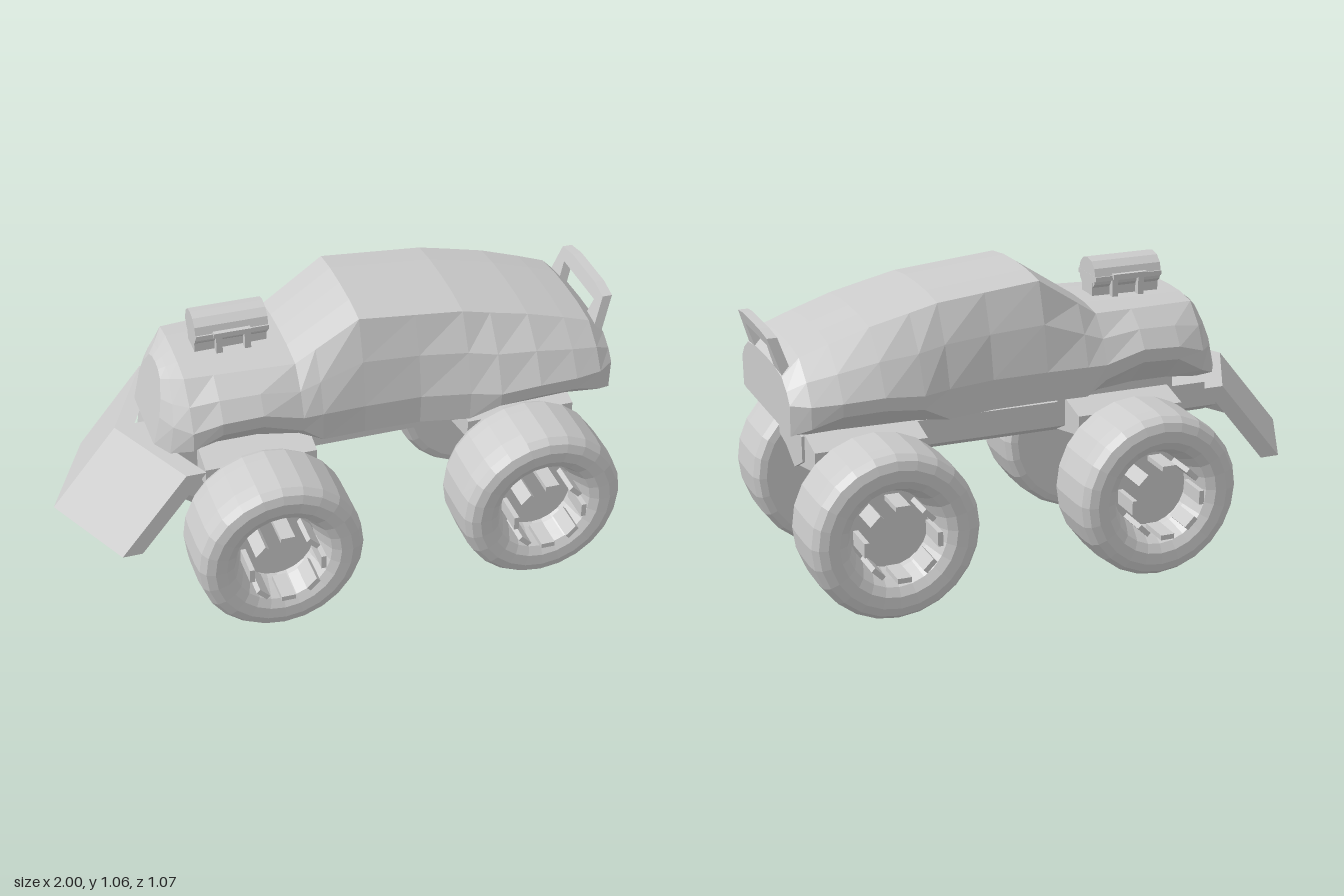
import * as THREE from 'three';

const material = new THREE.MeshStandardMaterial({ color: 0xcccccc, flatShading: true });
const { lerp } = THREE.MathUtils;

function add(parent, name, geometry, x = 0, y = 0, z = 0) {
  const mesh = new THREE.Mesh(geometry, material);
  mesh.name = name;
  mesh.position.set(x, y, z);
  parent.add(mesh);
  return mesh;
}

// Box given by its limits
function block(parent, name, [x0, x1], [y0, y1], [z0, z1]) {
  add(parent, name, new THREE.BoxGeometry(x1 - x0, y1 - y0, z1 - z0),
    (x0 + x1) / 2, (y0 + y1) / 2, (z0 + z1) / 2);
}

// Skin a row of equal-length rings and cap both ends
function loft(rings) {
  const n = rings[0].length, v = [];
  const tri = (...points) => points.forEach((p) => v.push(...p));
  for (let i = 0; i < rings.length - 1; i++) {
    for (let j = 0; j < n; j++) {
      const k = (j + 1) % n;
      const a = rings[i][j], b = rings[i][k], c = rings[i + 1][k], d = rings[i + 1][j];
      tri(a, d, c);
      tri(a, c, b);
    }
  }
  const middle = (r) => [0, 1, 2].map((k) => r.reduce((s, p) => s + p[k], 0) / n);
  const first = rings[0], last = rings[rings.length - 1];
  for (let j = 0; j < n; j++) {
    const k = (j + 1) % n;
    tri(middle(first), first[j], first[k]);
    tri(middle(last), last[k], last[j]);
  }
  const geometry = new THREE.BufferGeometry();
  geometry.setAttribute('position', new THREE.Float32BufferAttribute(v, 3));
  geometry.computeVertexNormals();
  return geometry;
}

// Value at x on a line through [x, value] points
function along(points, x) {
  const i = Math.max(1, points.findIndex((p) => p[0] >= x));
  const [x0, v0] = points[i - 1], [x1, v1] = points[i];
  return lerp(v0, v1, (x - x0) / (x1 - x0));
}

// Rise of a wheel arch above the sill
const arch = (x, centre, half, height) => height * Math.max(0, 1 - Math.abs((x - centre) / half) ** 3);

// Body sections along x, ruled by its waist, roof line and wheel arches
function bodyGeometry() {
  const waist = [[-0.66, 0.15], [-0.62, 0.22], [-0.55, 0.28], [-0.4, 0.305], [0.05, 0.295], [0.25, 0.3],
    [0.42, 0.335], [0.52, 0.37], [0.66, 0.38], [0.8, 0.367], [0.9, 0.34], [0.96, 0.295]];
  const roofLine = [[-0.66, 0.87], [-0.55, 0.915], [-0.17, 0.92], [0.05, 1.065],
    [0.42, 1.03], [0.7, 0.965], [0.9, 0.895], [0.96, 0.835]];
  const roofWidth = [[-0.66, 0.08], [-0.55, 0.17], [-0.17, 0.2], [0.05, 0.215], [0.6, 0.225], [0.96, 0.21]];
  const stations = [-0.66, -0.62, -0.55, -0.45, -0.31, -0.17, -0.1, 0.05, 0.25, 0.42, 0.52, 0.66, 0.8, 0.9, 0.96];
  return loft(stations.map((x) => {
    const width = along(waist, x), roof = along(roofLine, x), edge = along(roofWidth, x);
    const rise = arch(x, -0.35, 0.23, 0.1) + arch(x, 0.68, 0.26, 0.075);
    const belt = Math.max(0.745, 0.685 + rise), edgeY = roof - 0.017;
    const half = [
      [width * 0.9 - rise * 0.8, 0.635], [width * 0.985, 0.638 + rise], [width, belt],
      [lerp(width, edge, 0.38), lerp(belt, edgeY, 0.53)], [edge, edgeY], [edge * 0.5, roof - 0.003],
    ];
    const mirrored = half.map(([z, y]) => [-z, y]).reverse();
    const lean = Math.max(0, -0.55 - x) * 2;
    return [[0, 0.635], ...half, [0, roof], ...mirrored].map(([z, y]) => [x + lean * (y - 0.635), y, z]);
  }));
}

// Tyre with recessed hub and a ring of lugs, facing +z, centred on its axle
function makeWheel(name) {
  const wheel = new THREE.Group();
  wheel.name = name;
  const profile = [[0, 0.21], [0.255, 0.21], [0.28, 0.217], [0.295, 0.245], [0.298, 0.29], [0.298, 0.41],
    [0.293, 0.46], [0.275, 0.485], [0.245, 0.495], [0.205, 0.493], [0.175, 0.475], [0.158, 0.44],
    [0.142, 0.4], [0.138, 0.38], [0, 0.38]].map(([r, h]) => new THREE.Vector2(r, h));
  add(wheel, 'tyre', new THREE.LatheGeometry(profile, 24).rotateX(Math.PI / 2));
  for (let i = 0; i < 8; i++) {
    const angle = i * Math.PI / 4;
    const lug = add(wheel, 'wheelLug', new THREE.BoxGeometry(0.018, 0.05, 0.12),
      0.127 * Math.cos(angle), 0.127 * Math.sin(angle), 0.475);
    lug.rotation.z = angle;
  }
  return wheel;
}

// Raked rear hoop: an arch across z, sheared backward with height
function spoilerGeometry() {
  const half = [[0.135, 0.91], [0.115, 0.815], [0.205, 0.815], [0.18, 0.945], [0.1, 0.957]];
  const outline = [...half, ...half.map(([x, y]) => [-x, y]).reverse()].map(([x, y]) => new THREE.Vector2(x, y));
  const geometry = new THREE.ExtrudeGeometry(new THREE.Shape(outline), { depth: 0.035, bevelEnabled: false });
  geometry.rotateY(Math.PI / 2);
  const p = geometry.attributes.position;
  for (let i = 0; i < p.count; i++) p.setX(i, p.getX(i) + 0.92 + (p.getY(i) - 0.815) * 0.32);
  geometry.computeVertexNormals();
  return geometry;
}

export function createModel() {
  const model = new THREE.Group();
  model.name = 'buggy';

  add(model, 'body', bodyGeometry());
  add(model, 'rearSpoiler', spoilerGeometry());

  // Chassis spine with a V-shaped underside
  const spine = (x) => [[x, 0.418, 0], [x, 0.468, 0.1], [x, 0.56, 0.1], [x, 0.56, -0.1], [x, 0.468, -0.1]];
  add(model, 'chassisSpine', loft([spine(-0.7), spine(0.87)]));

  // Wheels, axle carriers and body mounts
  const carrier = (x) => [[x, 0.425, 0], [x, 0.47, 0.22], [x, 0.54, 0.22], [x, 0.57, 0.1],
    [x, 0.57, -0.1], [x, 0.54, -0.22], [x, 0.47, -0.22]];
  for (const [place, x, mount] of [['front', -0.3, [-0.52, -0.07]], ['rear', 0.66, [0.49, 0.86]]]) {
    for (const side of [1, -1]) {
      const wheel = makeWheel(place + (side > 0 ? 'LeftWheel' : 'RightWheel'));
      wheel.position.set(x, 0.302, 0);
      if (side < 0) wheel.rotation.y = Math.PI;
      model.add(wheel);
    }
    add(model, place + 'AxleCarrier', loft([carrier(x - 0.2), carrier(x + 0.2)]));
    block(model, place + 'BodyMount', mount, [0.55, 0.645], [-0.1, 0.1]);
  }

  // V-shaped plough blade
  add(model, 'ploughBlade', loft([-0.345, 0, 0.345].map((z) => {
    const sweep = Math.abs(z) * 0.49;
    return [[-1, 0.335], [-0.765, 0.628], [-0.695, 0.628], [-0.93, 0.335]].map(([x, y]) => [x + sweep, y, z]);
  })));

  // Engine on the bonnet: barrel, base and side pipes
  const engine = new THREE.Group();
  engine.name = 'engine';
  model.add(engine);
  const barrel = new THREE.CylinderGeometry(0.07, 0.07, 0.255, 12);
  add(engine, 'intakeBarrel', barrel.rotateZ(Math.PI / 2).scale(1, 0.85, 1), -0.353, 0.99, 0);
  block(engine, 'intakeBase', [-0.48, -0.225], [0.975, 0.992], [-0.075, 0.075]);
  block(engine, 'engineBlock', [-0.48, -0.225], [0.9, 0.98], [-0.045, 0.045]);
  for (const side of [1, -1]) {
    const across = (halfWidth) => [side * 0.065 - halfWidth, side * 0.065 + halfWidth];
    block(engine, 'pipeRail', [-0.42, -0.29], [0.98, 0.998], across(0.02));
    for (const x of [-0.4, -0.3]) {
      block(engine, 'exhaustPipe', [x - 0.011, x + 0.011], [0.9, 0.985], across(0.012));
    }
  }
  return model;
}
